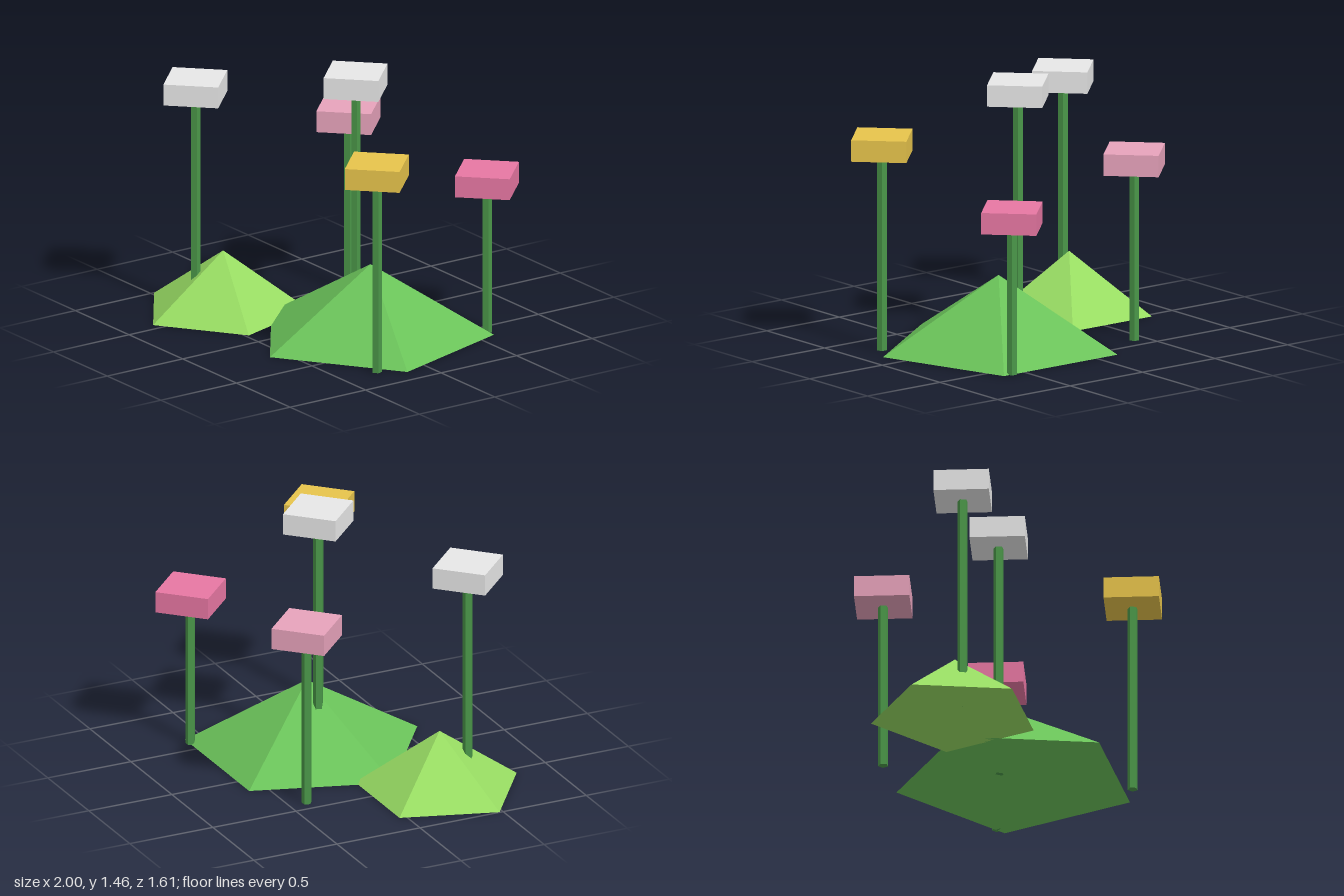
import * as THREE from 'three';

function flat(name, color) {
  const m = new THREE.MeshStandardMaterial({ color, flatShading: true });
  m.name = name;
  return m;
}

export function createModel() {
  const model = new THREE.Group();
  model.name = 'flowerHills';

  const darkGreen = flat('stem green', 0x4a9648);
  const white = flat('petal white', 0xf4f4f4);
  const palePink = flat('pale pink', 0xf4acc6);
  const deepPink = flat('deep pink', 0xf47eac);
  const yellow = flat('yellow', 0xf4cf50);
  const midGreen = flat('hill green', 0x6ac259);
  const lightGreen = flat('light hill green', 0x97db62);

  const add = (parent, name, geometry, material, x, y, z) => {
    const mesh = new THREE.Mesh(geometry, material);
    mesh.name = name;
    mesh.position.set(x, y, z);
    parent.add(mesh);
  };

  // Five-sided hills, one corner towards the front
  add(model, 'largeHill', new THREE.ConeGeometry(0.666, 0.4, 5), midGreen, 0.25, 0.2, -0.066);
  add(model, 'smallHill', new THREE.ConeGeometry(0.464, 0.335, 5), lightGreen, -0.557, 0.1675, 0.336);

  // Flowers: thin stem from the ground, square head turned corner-forward
  const headRadius = 0.212, headHeight = 0.119;
  const headGeometry = new THREE.CylinderGeometry(headRadius, headRadius, headHeight, 4);
  const flowers = [
    // x, z, head centre y, material
    [-0.623, 0.473, 1.27, white],
    [-0.422, -0.397, 1.003, palePink],
    [0.115, -0.063, 1.405, white],
    [0.583, -0.6, 0.869, deepPink],
    [0.785, 0.273, 1.137, yellow],
  ];
  for (const [x, z, y, material] of flowers) {
    const flower = new THREE.Group();
    flower.name = 'flower';
    flower.position.set(x, 0, z);
    add(flower, 'stem', new THREE.CylinderGeometry(0.028, 0.028, y, 5), darkGreen, 0, y / 2, 0);
    add(flower, 'flowerHead', headGeometry, material, 0, y, 0);
    model.add(flower);
  }

  return model;
}
